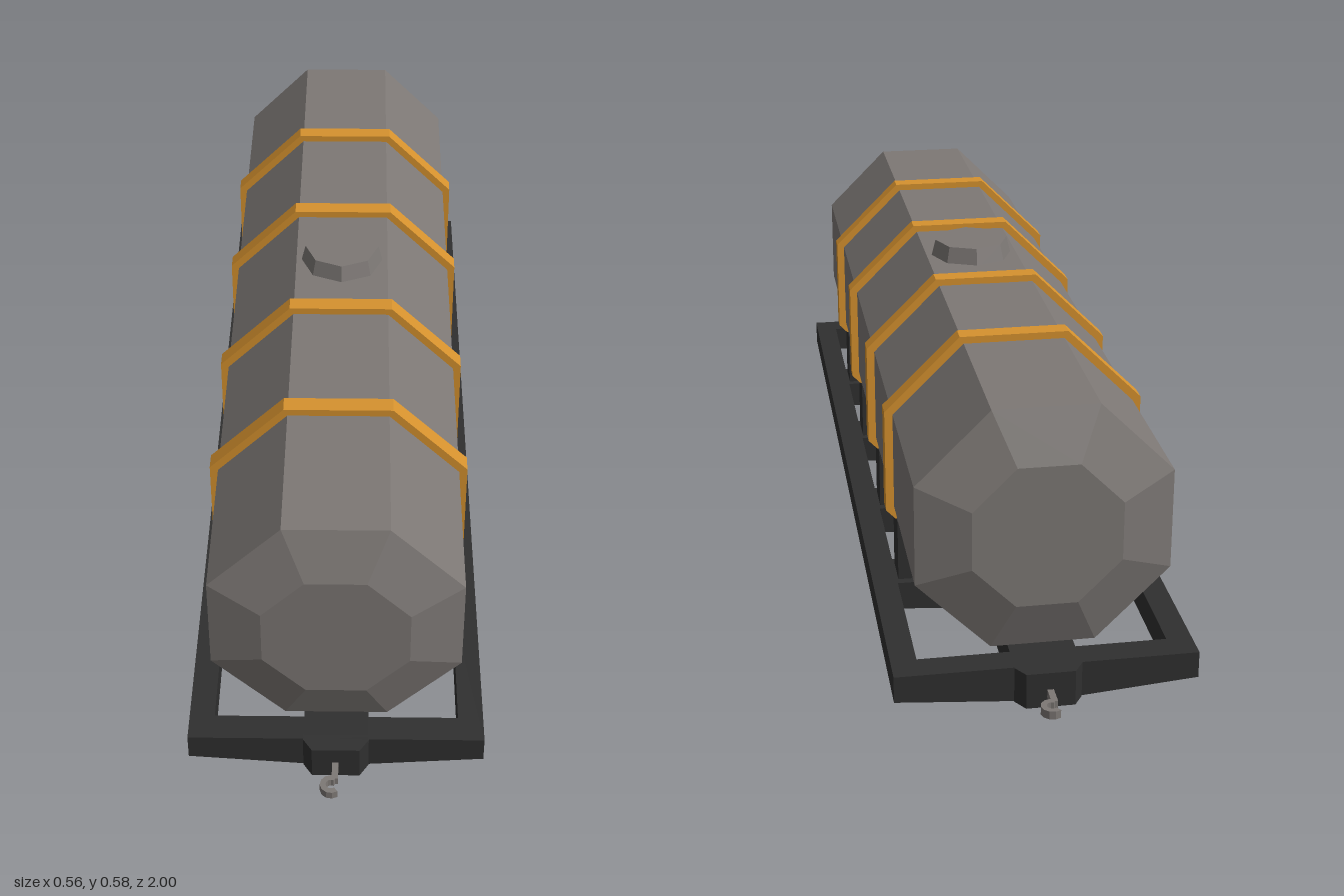
import * as THREE from 'three';

const flat = (name, color) => {
  const m = new THREE.MeshStandardMaterial({ color, flatShading: true });
  m.name = name;
  return m;
};

export function createModel() {
  const tankGrey = flat('tank grey', 0x7d7875);
  const strapOrange = flat('strap orange', 0xd6922e);
  const frameBlack = flat('frame black', 0x2f2f2f);
  const model = new THREE.Group();
  model.name = 'tankContainer';

  const add = (name, geometry, material, parent = model) => {
    const mesh = new THREE.Mesh(geometry, material);
    mesh.name = name;
    parent.add(mesh);
    return mesh;
  };
  const shapeOf = pts => new THREE.Shape(pts.map(p => new THREE.Vector2(...p)));
  const extrude = (shape, depth) =>
    new THREE.ExtrudeGeometry(shape, { depth, bevelEnabled: false });
  // Plan shape (x, z) raised upright from y = 0
  const raise = (shape, height) => extrude(shape, height).rotateX(-Math.PI / 2);
  // Outline mirrored across x = 0 from its +x half
  const mirrored = half => [...half, ...half.map(([x, y]) => [-x, y]).reverse()];

  // Octagonal tank with chamfered ends
  const profile = [[0, -0.88], [0.147, -0.88], [0.2525, -0.845],
    [0.2525, 0.845], [0.147, 0.88], [0, 0.88]].map(p => new THREE.Vector2(...p));
  const tank = new THREE.LatheGeometry(profile, 8, Math.PI / 8);
  add('tank', tank.rotateX(Math.PI / 2), tankGrey).position.y = 0.318;

  // Filler hatch
  add('hatch', new THREE.CylinderGeometry(0.077, 0.087, 0.04, 8), tankGrey).position.y = 0.565;

  // Straps over the tank, and the saddles that carry it
  const strapShape = shapeOf([
    [0.231, 0.195], [0.249, 0.214], [0.249, 0.421], [0.104, 0.565],
    [-0.104, 0.565], [-0.249, 0.421], [-0.249, 0.214], [-0.231, 0.195],
    [-0.2, 0.195], [-0.228, 0.224], [-0.228, 0.412], [-0.095, 0.544],
    [0.095, 0.544], [0.228, 0.412], [0.228, 0.224], [0.2, 0.195]]);
  const saddleShape = shapeOf(mirrored([
    [0.09, 0.09], [0.2, 0.195], [0.229, 0.195], [0.229, 0.068]]));
  const stations = [-0.51, -0.182, 0.182, 0.51];
  for (const z of stations) {
    add('strap', extrude(strapShape, 0.036), strapOrange).position.z = z - 0.018;
    add('saddle', extrude(saddleShape, 0.068), frameBlack).position.z = z - 0.034;
  }

  // Base frame: each half is a ladder whose underside slopes up outwards
  const ladder = shapeOf([[0.06, -0.9], [0.28, -0.9], [0.28, 0.9], [0.06, 0.9]]);
  const edges = [-0.845, ...stations.flatMap(z => [z - 0.05, z + 0.05]), 0.845];
  for (let i = 0; i < edges.length; i += 2) {
    const [a, b] = [edges[i], edges[i + 1]];
    ladder.holes.push(shapeOf([[0.06, a], [0.06, b], [0.232, b], [0.232, a]]
      .map(([x, z]) => [x === 0.06 ? 0.0605 : x, z])));
  }
  const half = raise(ladder, 0.07);
  const pos = half.attributes.position;
  for (let i = 0; i < pos.count; i++) {
    if (pos.getY(i) < 0.01) pos.setY(i, (pos.getX(i) - 0.06) / 0.22 * 0.018);
  }
  add('leftFrame', half, frameBlack);
  add('rightFrame', half, frameBlack).rotation.y = Math.PI;
  add('centreSill', new THREE.BoxGeometry(0.122, 0.07, 1.8), frameBlack).position.y = 0.035;

  // Coupler block and flat hook at each end, the back one turned round
  const block = shapeOf([[-0.062, -0.89], [-0.062, -0.902], [-0.045, -0.928],
    [0.045, -0.928], [0.062, -0.902], [0.062, -0.89]]);
  const outer = [], inner = [];
  for (let i = 0; i <= 8; i++) {
    const a = 1.05 + i / 8 * 4.3;
    const dir = [Math.cos(a), Math.sin(a)];
    outer.push([-0.008 + 0.021 * dir[0], -0.979 + 0.021 * dir[1]]);
    inner.unshift([-0.008 + 0.01 * dir[0], -0.979 + 0.01 * dir[1]]);
  }
  const hook = shapeOf([...outer, ...inner]);
  for (const [name, turn] of [['frontCoupler', 0], ['backCoupler', Math.PI]]) {
    const coupler = new THREE.Group();
    coupler.name = name;
    coupler.rotation.y = turn;
    add('couplerBlock', raise(block, 0.07), frameBlack, coupler);
    add('hook', raise(hook, 0.016), tankGrey, coupler).position.y = 0.02;
    add('hookShank', new THREE.BoxGeometry(0.012, 0.016, 0.044), tankGrey, coupler)
      .position.set(-0.001, 0.028, 0.944);
    model.add(coupler);
  }
  return model;
}
